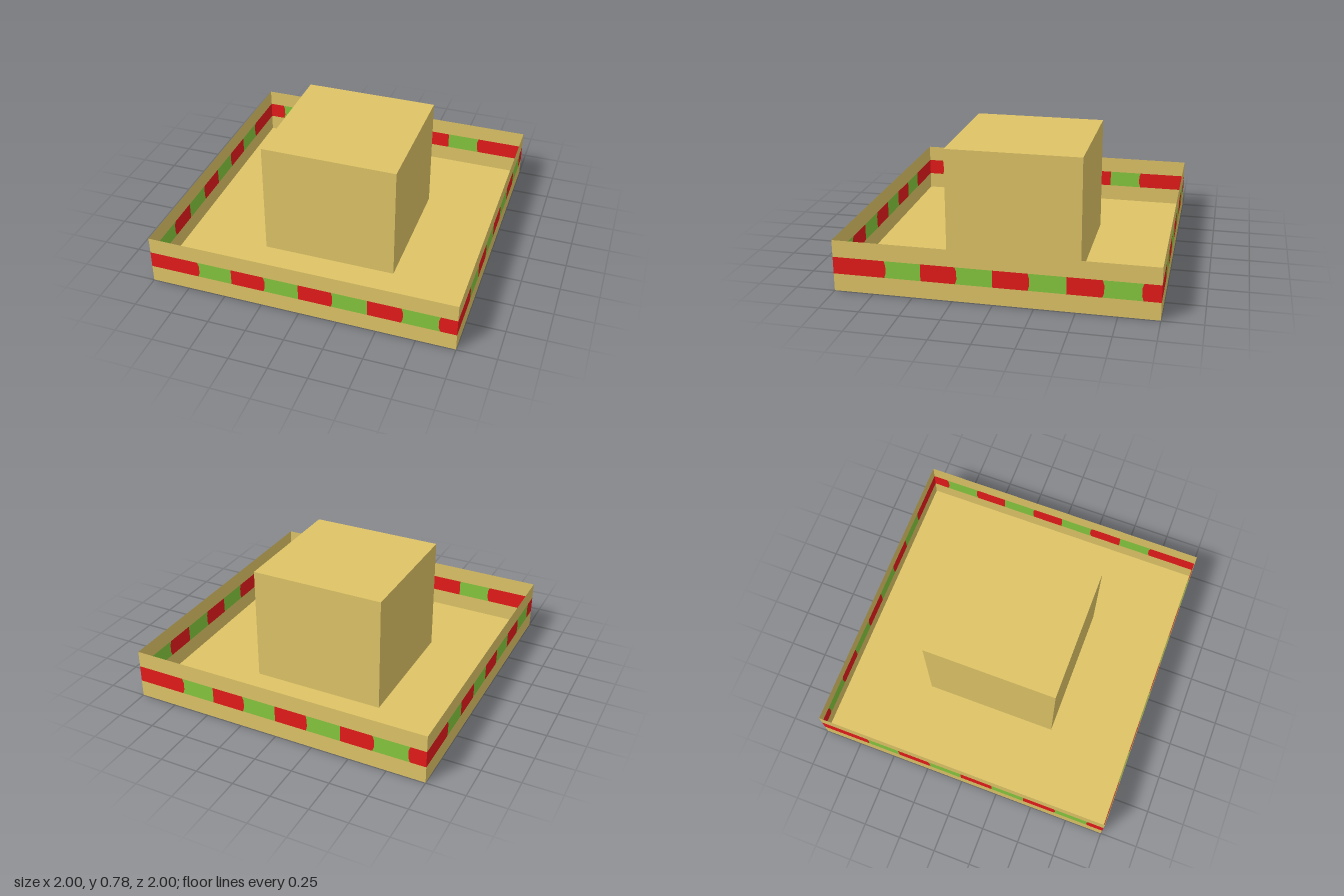
import * as THREE from 'three';

const mat = (name, color) => {
  const m = new THREE.MeshStandardMaterial({ color, side: THREE.DoubleSide });
  m.name = name;
  return m;
};

export function createModel() {
  const straw = mat('straw', 0xddc366);
  const red = mat('red', 0xe41a1a);
  const green = mat('green', 0x84c63d);

  const FLOOR = 0.002, TOP = 0.335, BAND_LOW = 0.115, BAND_HIGH = 0.225, CROWN = 0.447;
  const hat = new THREE.Group();
  hat.name = 'hat';

  const add = (parent, name, geometry, material) => {
    const mesh = new THREE.Mesh(geometry, material);
    mesh.name = name;
    parent.add(mesh);
  };

  // Crown block, reaching just below the brim
  add(hat, 'crown', new THREE.BoxGeometry(CROWN * 2, 0.782, CROWN * 2).translate(0, 0.391, 0), straw);

  // Flat brim
  add(hat, 'brim', new THREE.PlaneGeometry(2, 2).rotateX(-Math.PI / 2).translate(0, FLOOR, 0), straw);

  // Band boundaries: position and how far the corners shift (clipped patch ends)
  const edges = [
    [-1, 0], [-0.664, -0.01], [-0.445, 0], [-0.22, -0.01], [0, 0],
    [0.222, -0.008], [0.445, 0], [0.667, -0.01], [0.887, 0.01], [1, 0],
  ];
  const clip = 0.03;
  const edgePoints = ([x, shift]) => [
    [x + shift, BAND_LOW], [x, BAND_LOW + clip], [x, BAND_HIGH - clip], [x + shift, BAND_HIGH],
  ].map(([px, py]) => new THREE.Vector2(px, py));

  // Four thin upturned rim walls, each with alternating band patches
  for (let side = 0; side < 4; side++) {
    const wall = new THREE.Group();
    wall.name = 'rimWall' + (side + 1);
    wall.rotation.y = side * Math.PI / 2;

    for (const [name, low, high] of [['rimLower', FLOOR, BAND_LOW], ['rimUpper', BAND_HIGH, TOP]]) {
      add(wall, name, new THREE.PlaneGeometry(2, high - low).translate(0, (low + high) / 2, 1), straw);
    }
    for (let i = 0; i < edges.length - 1; i++) {
      const outline = [...edgePoints(edges[i + 1]), ...edgePoints(edges[i]).reverse()];
      const patch = new THREE.ShapeGeometry(new THREE.Shape(outline)).translate(0, 0, 1);
      add(wall, i % 2 ? 'greenPatch' : 'redPatch', patch, i % 2 ? green : red);
    }
    hat.add(wall);
  }
  return hat;
}
